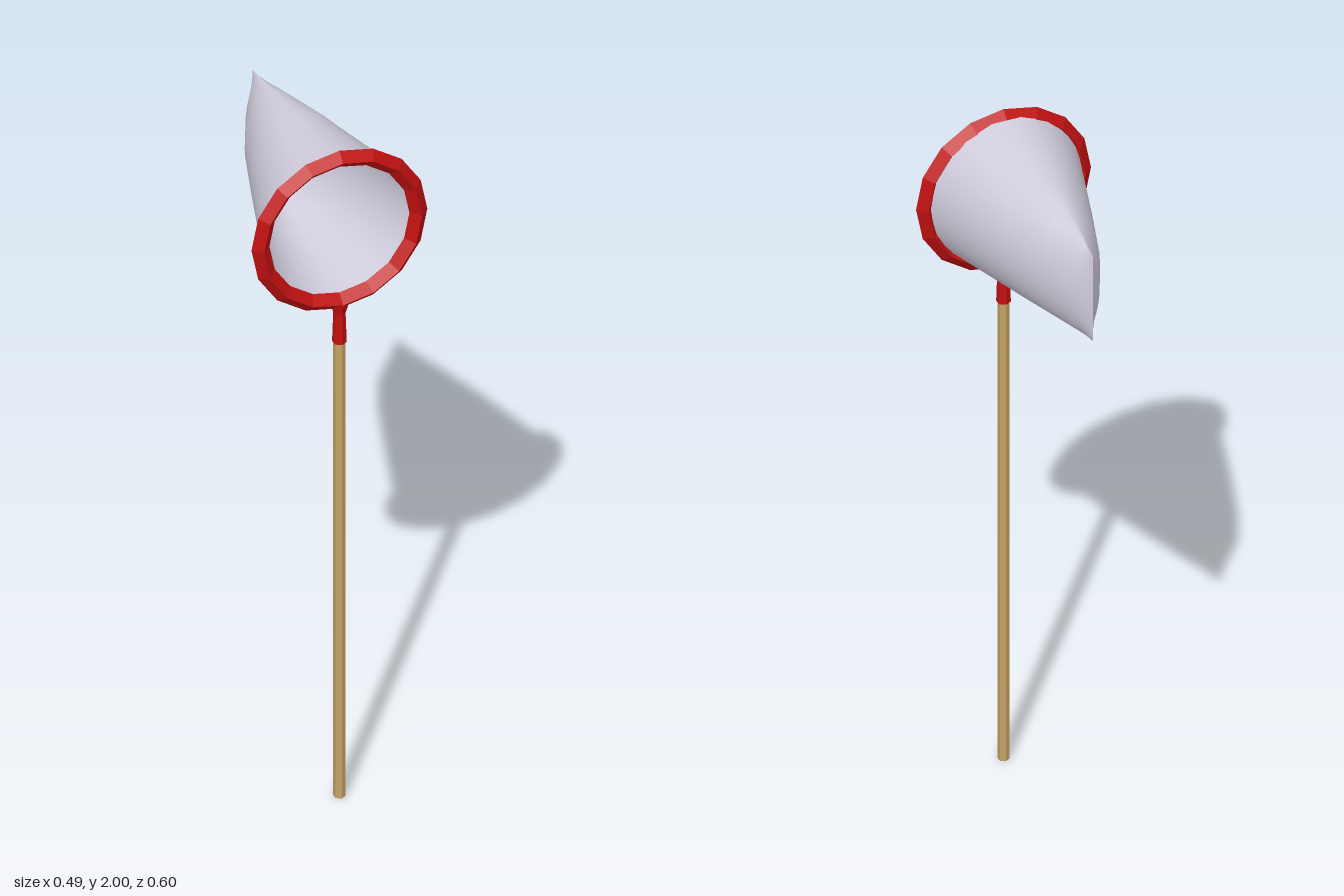
import * as THREE from 'three';

const CENTRE_Y = 1.757, RING_Z = 0.272;

// Tapered bag lofted through cross-sections that close into a vertical seam
function netGeometry() {
  // z, half width, middle y, half height, pinch (1 = ellipse, 2 = pointed lens)
  const sections = [
    [0.272, 0.215, 1.762, 0.221, 1],
    [0.0, 0.132, 1.767, 0.183, 1],
    [-0.15, 0.084, 1.766, 0.158, 1.15],
    [-0.255, 0.037, 1.765, 0.138, 1.6],
    [-0.297, 0.0, 1.765, 0.131, 2],
  ];
  const sides = 32, positions = [], index = [];
  for (const [z, w, y, h, pinch] of sections) {
    for (let i = 0; i < sides; i++) {
      const a = (i / sides) * Math.PI * 2, c = Math.cos(a);
      positions.push(w * Math.sign(c) * Math.abs(c) ** pinch, y + h * Math.sin(a), z);
    }
  }
  for (let s = 0; s < sections.length - 1; s++) {
    for (let i = 0; i < sides; i++) {
      const j = (i + 1) % sides;
      const a = s * sides + i, b = s * sides + j, c = a + sides, d = b + sides;
      index.push(a, c, b, b, c, d);
    }
  }
  const g = new THREE.BufferGeometry();
  g.setAttribute('position', new THREE.Float32BufferAttribute(positions, 3));
  g.setIndex(index);
  g.computeVertexNormals();
  return g;
}

export function createModel() {
  const red = new THREE.MeshStandardMaterial({ color: 0xc01010, flatShading: true });
  red.name = 'red plastic';
  const wood = new THREE.MeshStandardMaterial({ color: 0xc4a064, flatShading: true });
  wood.name = 'wood';
  const cloth = new THREE.MeshStandardMaterial({ color: 0xd0ccdc, side: THREE.DoubleSide });
  cloth.name = 'pale net cloth';

  const group = new THREE.Group();
  const add = (name, geometry, material, y = 0, z = 0) => {
    const mesh = new THREE.Mesh(geometry, material);
    mesh.name = name;
    mesh.position.set(0, y, z);
    group.add(mesh);
  };

  // Hoop with a diamond section
  add('hoop', new THREE.TorusGeometry(0.22, 0.025, 4, 16), red, CENTRE_Y, RING_Z);

  // Socket that flares into the hoop
  add('socket', new THREE.CylinderGeometry(0.016, 0.019, 0.09, 6), red, 1.455, RING_Z);
  add('socketFlare', new THREE.CylinderGeometry(0.026, 0.016, 0.035, 6), red, 1.5175, RING_Z);

  // Pole
  add('handle', new THREE.CylinderGeometry(0.016, 0.016, 1.42, 6), wood, 0.71, RING_Z);

  // Net bag
  add('net', netGeometry(), cloth);
  return group;
}
